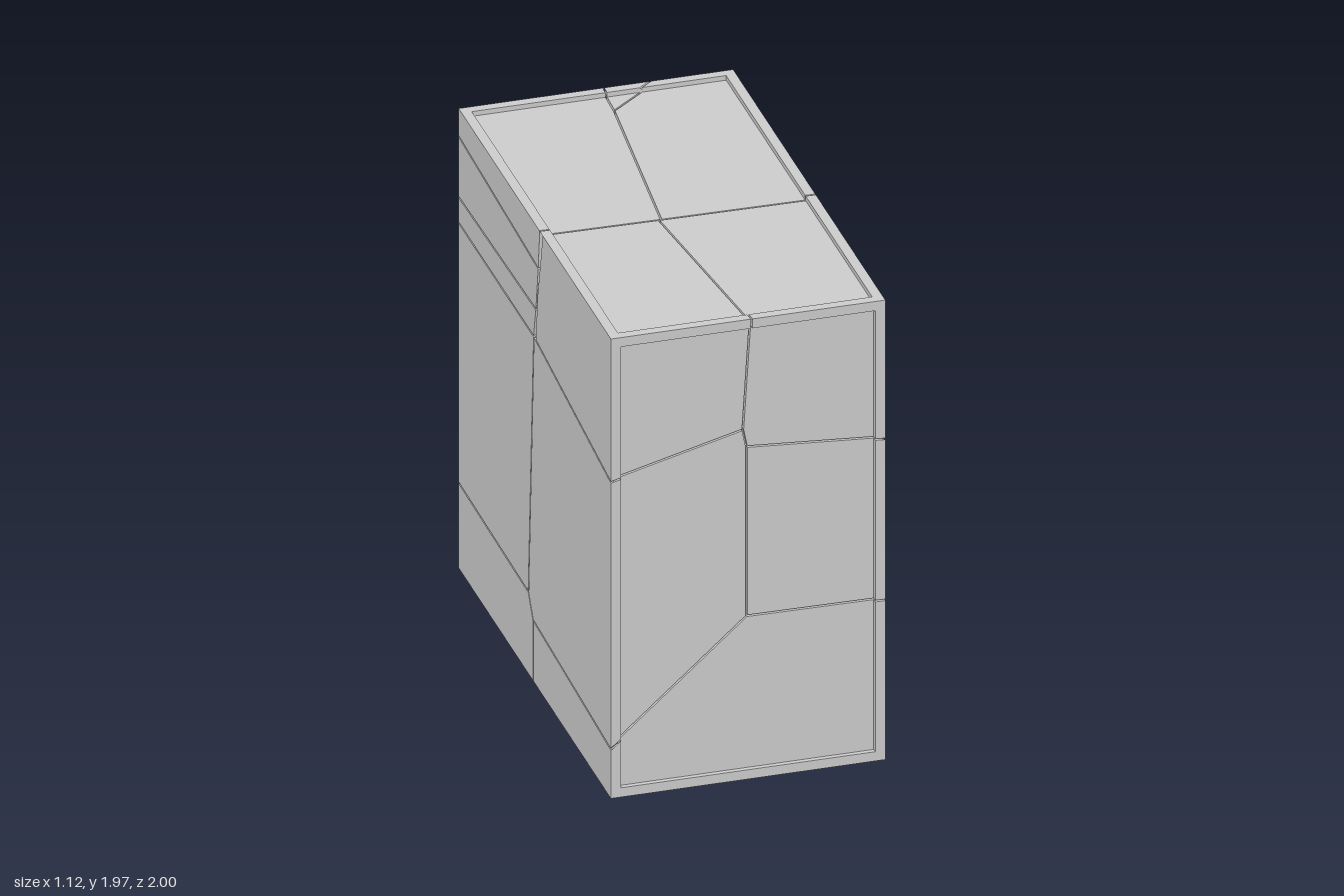
import * as THREE from 'three';
import { mergeGeometries } from 'three/addons/utils/BufferGeometryUtils.js';

const X0 = -0.56, X1 = 0.53, H = 1.97, Z0 = -0.975, Z1 = 1; // case bounds
const T = 0.04;      // rim width and shell thickness
const R = 0.02;      // recess depth of the framed panels
const GAP = 0.0035;  // half width of a crack
const material = new THREE.MeshStandardMaterial({ color: 0xcccccc });

// Clip a convex polygon by the half plane n.p >= d
function clip(poly, nx, ny, d) {
  const out = [];
  poly.forEach((a, i) => {
    const b = poly[(i + 1) % poly.length];
    const da = a[0] * nx + a[1] * ny - d, db = b[0] * nx + b[1] * ny - d;
    if (da >= 0) out.push(a);
    if (da * db < 0) {
      const t = da / (da - db);
      out.push([a[0] + t * (b[0] - a[0]), a[1] + t * (b[1] - a[1])]);
    }
  });
  return out;
}

// Part of a rectangle inside one shard, with crack gaps along the inner edges
function clipToCell([u0, v0, u1, v1], cell, bounds) {
  let poly = [[u0, v0], [u1, v0], [u1, v1], [u0, v1]];
  const c = [0, 1].map(k => cell.reduce((s, p) => s + p[k], 0) / cell.length);
  cell.forEach((a, i) => {
    const b = cell[(i + 1) % cell.length];
    const onEdge = [0, 1].some(k => a[k] === b[k] && (a[k] === bounds[k] || a[k] === bounds[k + 2]));
    if (onEdge) return;
    let nx = a[1] - b[1], ny = b[0] - a[0];
    const l = Math.hypot(nx, ny);
    nx /= l; ny /= l;
    if ((c[0] - a[0]) * nx + (c[1] - a[1]) * ny < 0) { nx = -nx; ny = -ny; }
    poly = clip(poly, nx, ny, a[0] * nx + a[1] * ny + GAP);
  });
  return poly;
}

// Four bars between an outer and an inner rectangle
const ring = (o, i) => [
  [o[0], o[1], o[2], i[1]], [o[0], i[3], o[2], o[3]],
  [o[0], i[1], i[0], i[3]], [i[2], i[1], o[2], i[3]],
];
const inset = (r, d) => [r[0] + d, r[1] + d, r[2] - d, r[3] - d];

// Shard slab between two depths, mitred at the case edges so cracks run round corners
function slab(poly, top, bounds, su, sv) {
  const shape = new THREE.Shape(poly.map(p => new THREE.Vector2(p[0] * su, p[1] * sv)));
  const g = new THREE.ExtrudeGeometry(shape, { depth: T - top, bevelEnabled: false });
  g.translate(0, 0, -T);
  const pos = g.attributes.position;
  for (let i = 0; i < pos.count; i++) {
    const b = inset(bounds, -pos.getZ(i));
    pos.setX(i, su * THREE.MathUtils.clamp(su * pos.getX(i), b[0], b[2]));
    pos.setY(i, sv * THREE.MathUtils.clamp(sv * pos.getY(i), b[1], b[3]));
  }
  g.computeVertexNormals();
  return g;
}

// One side of the case: every layer is cut into the shards of that side
function buildSide({ name, u, v, su, sv, at, bounds, cells, layers }) {
  const group = new THREE.Group();
  group.name = name;
  const U = new THREE.Vector3(...u), V = new THREE.Vector3(...v);
  const N = new THREE.Vector3().crossVectors(U, V);
  const matrix = new THREE.Matrix4().makeBasis(U, V, N).setPosition(N.clone().multiplyScalar(at));
  for (const [part, rects, top] of layers) {
    const geos = [];
    for (const rect of rects) for (const cell of cells) {
      const poly = clipToCell(rect, cell, bounds);
      if (poly.length > 2) geos.push(slab(poly, top, bounds, su, sv).applyMatrix4(matrix));
    }
    const mesh = new THREE.Mesh(mergeGeometries(geos), material);
    mesh.name = part;
    group.add(mesh);
  }
  return group;
}

export function createModel() {
  const model = new THREE.Group();
  model.name = 'crackedComputerCase';
  const add = (name, geo, x, y, z) => {
    const m = new THREE.Mesh(geo, material);
    m.name = name;
    m.position.set(x, y, z);
    model.add(m);
    return m;
  };

  const fb = [X0, 0, X1, H], sb = [Z0, 0, Z1, H], tb = [X0, Z0, X1, Z1];
  const framed = b => [
    ['rim', ring(b, inset(b, T)), 0],
    ['recessedPanel', [inset(b, T)], R],
  ];

  // Front
  model.add(buildSide({
    name: 'front', u: [1, 0, 0], v: [0, 1, 0], su: 1, sv: 1, at: Z1, bounds: fb, layers: framed(fb),
    cells: [
      [[X0, H], [0, H], [-0.03, 1.49], [X0, 1.355]],
      [[0, H], [X1, H], [X1, 1.375], [-0.015, 1.415], [-0.03, 1.49]],
      [[X0, 1.355], [-0.03, 1.49], [-0.015, 1.415], [-0.015, 0.69], [X0, 0.21]],
      [[-0.015, 1.415], [X1, 1.375], [X1, 0.685], [-0.015, 0.69]],
      [[X0, 0.21], [-0.015, 0.69], [X1, 0.685], [X1, 0], [X0, 0]],
    ],
  }));

  // Back with three drive slots
  const slots = [1.30, 1.455, 1.61].map(y => [-0.44, y, 0.45, y + 0.105]);
  const p = inset(fb, T);
  const edges = [p[1], ...slots.flatMap(s => [s[1], s[3]]), p[3]];
  const strips = [];
  for (let i = 0; i < edges.length; i += 2) strips.push([p[0], edges[i], p[2], edges[i + 1]]);
  slots.forEach(s => strips.push([p[0], s[1], s[0], s[3]], [s[2], s[1], p[2], s[3]]));
  model.add(buildSide({
    name: 'back', u: [-1, 0, 0], v: [0, 1, 0], su: -1, sv: 1, at: -Z0, bounds: fb,
    layers: [
      ['rim', ring(fb, p), 0],
      ['recessedPanel', strips, R],
      ['driveSlots', slots, R + 0.017],
    ],
    cells: [
      [[X1, H], [0.2, H], [X1, 1.82]],
      [[X1, 1.82], [0.2, H], [0.02, H], [0, 1.72], [X1, 1.65]],
      [[0.02, H], [X0, H], [X0, 1.54], [-0.02, 1.53], [0, 1.72]],
      [[X1, 1.65], [0, 1.72], [-0.02, 1.53], [0.1, 0.8], [X1, 0.82]],
      [[-0.02, 1.53], [X0, 1.54], [X0, 0.365], [0.1, 0.8]],
      [[0.1, 0.8], [X0, 0.365], [X0, 0], [X1, 0], [X1, 0.82]],
    ],
  }));

  // Left side with a grooved access panel
  const outer = [-0.9, 0.08, 0.93, 1.9], inner = inset(outer, 0.027);
  model.add(buildSide({
    name: 'leftSide', u: [0, 0, -1], v: [0, 1, 0], su: -1, sv: 1, at: X1, bounds: sb,
    layers: [
      ['sideFrame', ring(sb, outer), 0],
      ['groove', ring(outer, inner), 0.025],
      ['accessPanel', [inner], 0],
    ],
    cells: [
      [[Z1, H], [0.1, H], [0.02, 1.66], [-0.08, 1.14], [0.96, 1.34], [Z1, 1.375]],
      [[0.1, H], [Z0, H], [Z0, 1.82], [-0.92, 1.8], [0.02, 1.66]],
      [[0.02, 1.66], [-0.92, 1.8], [-0.965, 1.64], [-0.08, 1.14]],
      [[-0.92, 1.8], [Z0, 1.82], [Z0, 1.65], [-0.965, 1.64]],
      [[-0.08, 1.14], [-0.965, 1.64], [Z0, 1.645], [Z0, 0.82], [-0.125, 0.83]],
      [[0.96, 1.34], [-0.08, 1.14], [-0.125, 0.83], [-0.04, 0.705], [Z1, 0.685], [Z1, 1.08]],
      [[Z1, 1.375], [0.96, 1.34], [Z1, 1.08]],
      [[Z1, 0.685], [-0.04, 0.705], [-0.02, 0], [Z1, 0]],
      [[-0.125, 0.83], [Z0, 0.82], [Z0, 0], [-0.02, 0], [-0.04, 0.705]],
    ],
  }));

  // Plain right side
  model.add(buildSide({
    name: 'rightSide', u: [0, 0, 1], v: [0, 1, 0], su: 1, sv: 1, at: -X0, bounds: sb,
    layers: [['sidePanel', [sb], 0]],
    cells: [
      [[Z1, H], [0.08, H], [0.06, 1.8], [0.03, 1.61], [0, 1.48], [Z1, 1.355]],
      [[0.08, H], [Z0, H], [Z0, 1.85], [0.06, 1.8]],
      [[0.06, 1.8], [Z0, 1.85], [Z0, 1.59], [0.03, 1.61]],
      [[0.03, 1.61], [Z0, 1.59], [Z0, 1.48], [0, 1.48]],
      [[0, 1.48], [Z0, 1.48], [Z0, 0.365], [-0.07, 0.35]],
      [[0, 1.48], [Z1, 1.355], [Z1, 0.21], [-0.01, 0.26], [-0.07, 0.35]],
      [[-0.07, 0.35], [Z0, 0.365], [Z0, 0], [-0.01, 0], [-0.01, 0.26]],
      [[-0.01, 0.26], [Z1, 0.21], [Z1, 0], [-0.01, 0]],
    ],
  }));

  // Top
  model.add(buildSide({
    name: 'top', u: [1, 0, 0], v: [0, 0, -1], su: 1, sv: -1, at: H, bounds: tb, layers: framed(tb),
    cells: [
      [[X0, Z0], [0.015, Z0], [0.01, -0.82], [-0.08, 0.085], [X0, 0.075]],
      [[0.015, Z0], [0.2, Z0], [0.01, -0.82]],
      [[0.2, Z0], [X1, Z0], [X1, 0.095], [-0.08, 0.085], [0.01, -0.82]],
      [[X0, 0.075], [-0.09, 0.085], [0, Z1], [X0, Z1]],
      [[-0.09, 0.085], [X1, 0.095], [X1, Z1], [0, Z1]],
    ],
  }));

  // Bottom
  model.add(buildSide({
    name: 'bottom', u: [1, 0, 0], v: [0, 0, 1], su: 1, sv: 1, at: 0, bounds: tb,
    layers: [['basePlate', [tb], 0]],
    cells: [
      [[X0, Z0], [X1, Z0], [X1, -0.02], [X0, -0.02]],
      [[X0, -0.02], [X1, -0.02], [X1, Z1], [X0, Z1]],
    ],
  }));

  // Solid core behind the cracked shell
  add('core', new THREE.BoxGeometry(X1 - X0 - 2 * T, H - 2 * T, Z1 - Z0 - 2 * T),
    (X0 + X1) / 2, H / 2, (Z0 + Z1) / 2);

  // Thumb screws and power button
  for (const y of [0.155, 1.82]) for (const z of [-0.82, 0.845]) {
    add('thumbScrew', new THREE.CylinderGeometry(0.033, 0.033, 0.04, 24), X1 + 0.005, y, z)
      .rotation.z = -Math.PI / 2;
  }
  add('powerButton', new THREE.BoxGeometry(0.18, 0.08, 0.05), -0.37, 1.83, -0.975);

  return model;
}
